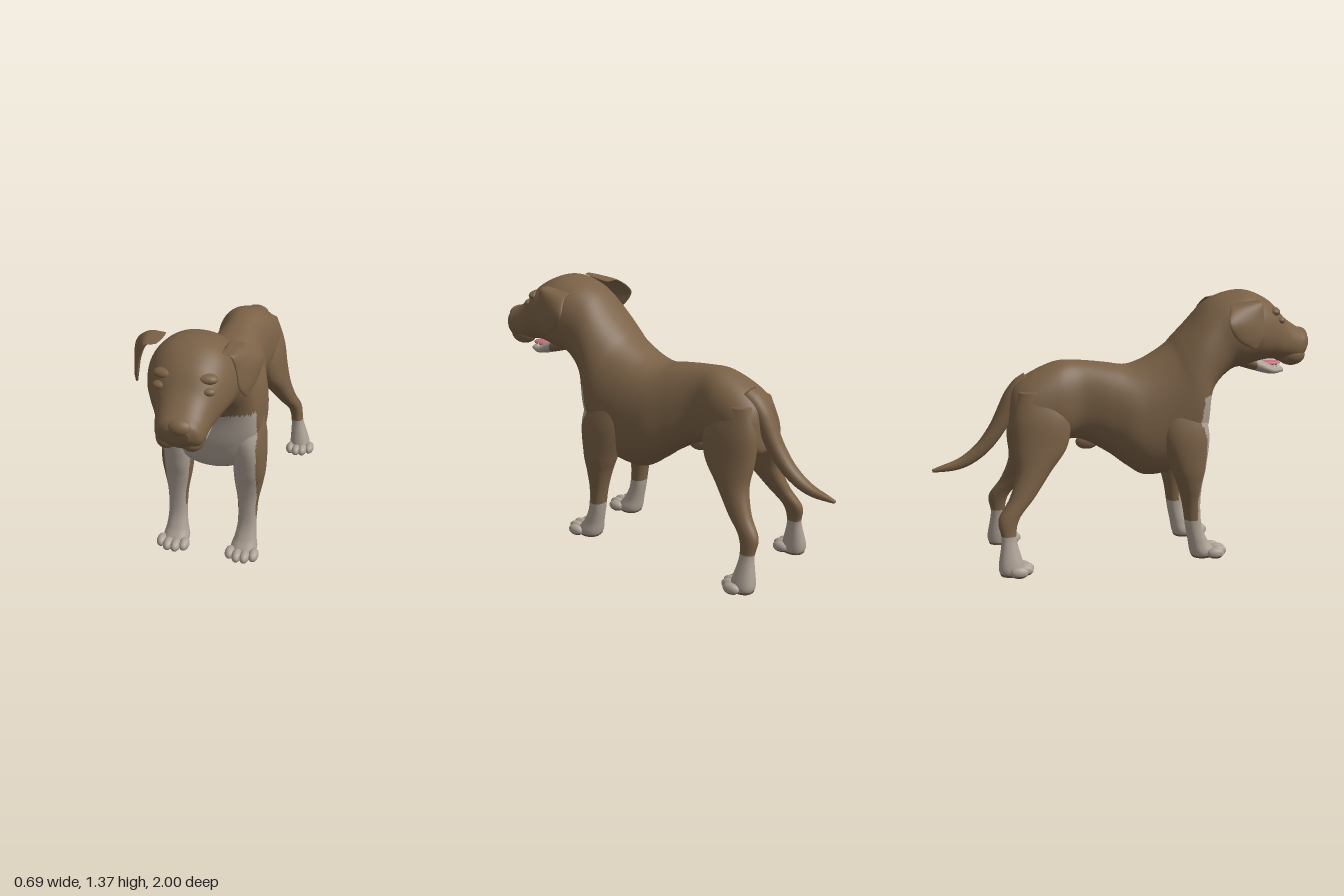
import * as THREE from 'three';

const coat = new THREE.MeshStandardMaterial({ color: 0x7a6146 });
coat.name = 'brown coat';
const pale = new THREE.MeshStandardMaterial({ color: 0xaca094 });
pale.name = 'pale markings';
const pink = new THREE.MeshStandardMaterial({ color: 0xc4707c });
pink.name = 'pink tongue';
const ivory = new THREE.MeshStandardMaterial({ color: 0xd6cebf });
ivory.name = 'ivory teeth';
const coatAndPale = [coat, pale];

const V = (x, y, z) => new THREE.Vector3(x, y, z);
const X = V(1, 0, 0);

// Smooth skin through oval rings. Each row is [a, b, halfWidth]: a and b are the
// ends of the oval's long axis, "side" is its other axis, "egg" widens the b end
function loft(rows, side, around, steps, egg = 0) {
  const curve = (f) => new THREE.CatmullRomCurve3(rows.map(f), false, 'catmullrom', 0.5);
  const A = curve((r) => r[0]), B = curve((r) => r[1]), W = curve((r) => V(r[2], 0, 0));
  const pos = [], index = [];
  const soft = (v) => Math.sign(v) * Math.abs(v) ** 0.88;
  for (let i = -1; i <= steps + 1; i++) {
    const t = THREE.MathUtils.clamp(i / steps, 0, 1);
    const size = i < 0 || i > steps ? 0 : 1; // closed ends
    const a = A.getPoint(t), b = B.getPoint(t), w = W.getPoint(t).x * size;
    const mid = a.clone().add(b).multiplyScalar(0.5);
    const axis = a.clone().sub(b).multiplyScalar(0.5 * size);
    for (let j = 0; j < around; j++) {
      const q = (j / around) * Math.PI * 2, c = soft(Math.cos(q)), s = soft(Math.sin(q));
      const p = mid.clone().addScaledVector(axis, s).addScaledVector(side, w * c * (1 - egg * s));
      pos.push(p.x, p.y, p.z);
    }
  }
  const run = A.getPoint(1).add(B.getPoint(1)).sub(A.getPoint(0)).sub(B.getPoint(0));
  const flip = side.clone().cross(A.getPoint(0.5).sub(B.getPoint(0.5))).dot(run) < 0;
  for (let i = 0; i < steps + 2; i++) {
    for (let j = 0; j < around; j++) {
      const a = i * around + j, b = i * around + ((j + 1) % around);
      const c = a + around, d = b + around;
      if (flip) index.push(a, d, b, a, c, d);
      else index.push(a, b, d, a, d, c);
    }
  }
  const geo = new THREE.BufferGeometry();
  geo.setAttribute('position', new THREE.Float32BufferAttribute(pos, 3));
  geo.setIndex(index);
  geo.computeVertexNormals();
  return geo;
}

// Sort the faces into a coat group and a pale group
function paint(geo, isPale) {
  const p = geo.attributes.position, idx = geo.index.array, sets = [[], []];
  for (let i = 0; i < idx.length; i += 3) {
    const c = V(0, 0, 0);
    for (let k = 0; k < 3; k++) c.add(V(0, 0, 0).fromBufferAttribute(p, idx[i + k]));
    c.divideScalar(3);
    sets[isPale(c) ? 1 : 0].push(idx[i], idx[i + 1], idx[i + 2]);
  }
  geo.setIndex(sets[0].concat(sets[1]));
  geo.addGroup(0, sets[0].length, 0);
  geo.addGroup(sets[0].length, sets[1].length, 1);
  return geo;
}

function oval(x, y, z, rx, ry, rz) {
  return new THREE.SphereGeometry(1, 28, 20).scale(rx, ry, rz).translate(x, y, z);
}

function add(parent, name, geo, mat) {
  const m = new THREE.Mesh(geo, mat);
  m.name = name;
  parent.add(m);
}

// Leg rows: [y, frontZ, backZ, x, halfWidth]
const frontLeg = [
  [0.88, 0.34, 0.15, 0.145, 0.055], [0.68, 0.4, 0.14, 0.177, 0.083],
  [0.5, 0.385, 0.195, 0.188, 0.082], [0.4, 0.365, 0.235, 0.187, 0.072],
  [0.29, 0.357, 0.264, 0.186, 0.053], [0.17, 0.367, 0.282, 0.186, 0.048],
  [0.09, 0.4, 0.298, 0.184, 0.055], [0.035, 0.44, 0.308, 0.182, 0.068],
  [0.004, 0.43, 0.318, 0.182, 0.058],
];
const rearLeg = [
  [0.9, -0.38, -0.56, 0.085, 0.055], [0.76, -0.31, -0.6, 0.105, 0.076],
  [0.62, -0.325, -0.6, 0.125, 0.074], [0.5, -0.415, -0.59, 0.155, 0.061],
  [0.38, -0.505, -0.63, 0.193, 0.044], [0.28, -0.588, -0.692, 0.222, 0.035],
  [0.18, -0.605, -0.681, 0.238, 0.034], [0.05, -0.575, -0.7, 0.257, 0.054],
  [0.004, -0.58, -0.692, 0.257, 0.05],
];
const aboveSole = (c) => c.y > 0.016;
const frontPale = (c) => aboveSole(c) && (c.y < 0.21
  || (c.z > 0.336 && c.y < 0.86 && Math.abs(c.x) < 0.237));
const rearPale = (c) => aboveSole(c) && c.y < 0.2;

function makeLeg(name, rows, rule, s, toeX, toeZ, spread, turn) {
  const leg = new THREE.Group();
  leg.name = name;
  const rings = rows.map(([y, f, b, x, w]) => [V(x * s, y, f), V(x * s, y, b), w]);
  add(leg, 'limb', paint(loft(rings, X, 48, 110), rule), coatAndPale);
  for (const k of [-1.5, -0.5, 0.5, 1.5]) {
    const z = toeZ + (Math.abs(k) < 1 ? 0.022 : 0) - k * turn;
    const toe = oval(s * (toeX + k * spread), 0.03, z, 0.026, 0.029, 0.045);
    add(leg, 'toe', paint(toe, aboveSole), coatAndPale);
  }
  return leg;
}

export function createModel() {
  const model = new THREE.Group();

  // Torso, neck and head: [topZ, topY, bottomZ, bottomY, halfWidth]
  const trunk = [
    [-0.6, 0.82, -0.605, 0.74, 0.04], [-0.58, 0.905, -0.6, 0.65, 0.115],
    [-0.5, 0.97, -0.52, 0.62, 0.16], [-0.36, 1.03, -0.36, 0.625, 0.158],
    [-0.24, 1.032, -0.24, 0.625, 0.136], [-0.1, 1.015, -0.1, 0.55, 0.175],
    [0, 1.0, 0, 0.475, 0.21], [0.08, 1.02, 0.1, 0.42, 0.225],
    [0.15, 1.055, 0.26, 0.445, 0.236], [0.22, 1.1, 0.37, 0.52, 0.243],
    [0.26, 1.14, 0.42, 0.66, 0.238], [0.33, 1.21, 0.445, 0.85, 0.218],
    [0.42, 1.305, 0.54, 0.955, 0.198], [0.52, 1.355, 0.63, 0.98, 0.207],
    [0.64, 1.368, 0.7, 1.0, 0.202], [0.76, 1.315, 0.77, 1.005, 0.17],
    [0.85, 1.225, 0.84, 0.995, 0.132], [0.92, 1.175, 0.915, 0.985, 0.117],
    [0.97, 1.15, 0.955, 1.01, 0.098], [0.992, 1.12, 0.985, 1.05, 0.055],
  ].map(([tz, ty, bz, by, w]) => {
    const x = 0.03 * THREE.MathUtils.smoothstep(tz, 0.6, 1); // muzzle turns a little left
    return [V(x, ty, tz), V(x, by, bz), w];
  });
  const chest = (c) => c.z > 0.34 && c.y < 0.86 && c.y > 0.46 && Math.abs(c.x) < 0.236;
  add(model, 'bodyAndHead', paint(loft(trunk, X, 88, 180, 0.07), chest), coatAndPale);
  add(model, 'bellyFold', oval(0, 0.605, -0.2, 0.028, 0.04, 0.06), coat);

  // Nose, lips, closed eyelids and brows
  add(model, 'nose', oval(0.04, 1.118, 0.955, 0.062, 0.042, 0.045), coat);
  for (const s of [-1, 1]) {
    add(model, 'lip', oval(0.022 + s * 0.058, 1.025, 0.89, 0.055, 0.055, 0.075), coat);
    add(model, 'eyelid', oval(0.012 + s * 0.11, 1.218, 0.8, 0.036, 0.02, 0.026), coat);
    add(model, 'brow', oval(0.01 + s * 0.095, 1.262, 0.765, 0.055, 0.025, 0.035), coat);
  }

  // Open lower jaw, tongue and teeth
  const jaw = [
    [0.58, 1.05, 0.98, 0.1], [0.68, 1.03, 0.948, 0.1],
    [0.78, 0.975, 0.923, 0.088], [0.85, 0.958, 0.93, 0.05],
  ].map(([z, t, b, w]) => [V(0.015, t, z), V(0.015, b, z), w]);
  add(model, 'lowerJaw', paint(loft(jaw, X, 40, 60), (c) => c.z > 0.69), coatAndPale);
  add(model, 'tongue', oval(0.03, 0.974, 0.785, 0.042, 0.016, 0.07), pink);
  for (let i = -3; i <= 3; i++) {
    const q = i * 0.42;
    const tooth = new THREE.ConeGeometry(0.008, 0.026, 8);
    tooth.translate(0.015 + Math.sin(q) * 0.066, 0.972, 0.775 + Math.cos(q) * 0.062);
    add(model, 'lowerTooth', tooth, ivory);
  }

  // Drooping ears, the right one flaring wider: [frontX, y, z, backX, y, z, halfThickness]
  const ear = [
    [0.15, 1.335, 0.655, 0.15, 1.315, 0.5, 0.012], [0.19, 1.325, 0.665, 0.22, 1.305, 0.485, 0.016],
    [0.212, 1.26, 0.662, 0.285, 1.235, 0.458, 0.014], [0.228, 1.17, 0.665, 0.276, 1.155, 0.505, 0.013],
    [0.244, 1.105, 0.62, 0.252, 1.105, 0.59, 0.006],
  ];
  for (const [name, s, flare] of [['leftEar', 1, 1], ['rightEar', -1, -1.12]]) {
    const rings = ear.map(([ax, ay, az, bx, by, bz, w]) =>
      [V(ax * flare, ay, az), V(bx * flare, by, bz), w]);
    add(model, name, loft(rings, V(0.9 * s, 0.15, 0.4), 28, 36), coat);
  }

  for (const [label, s] of [['left', 1], ['right', -1]]) {
    model.add(makeLeg(label + 'FrontLeg', frontLeg, frontPale, s, 0.185, 0.433, 0.041, 0.002));
    model.add(makeLeg(label + 'RearLeg', rearLeg, rearPale, s, 0.267, -0.593, 0.035, 0.008));
  }

  // Tail, sweeping down and back along a curve and thinning to the tip
  const path = new THREE.CatmullRomCurve3([
    V(0.02, 0.93, -0.49), V(0.02, 0.885, -0.555), V(0.02, 0.69, -0.665),
    V(0.02, 0.59, -0.745), V(0.02, 0.52, -0.85), V(0.02, 0.487, -0.995),
  ]);
  const tail = [];
  for (let i = 0; i <= 12; i++) {
    const t = i / 12, r = 0.052 - 0.026 * t - 0.018 * t ** 6;
    const p = path.getPointAt(t), up = path.getTangentAt(t).cross(X).multiplyScalar(r);
    tail.push([p.clone().add(up), p.clone().sub(up), r * 1.15]);
  }
  add(model, 'tail', loft(tail, X, 28, 60), coat);
  return model;
}
